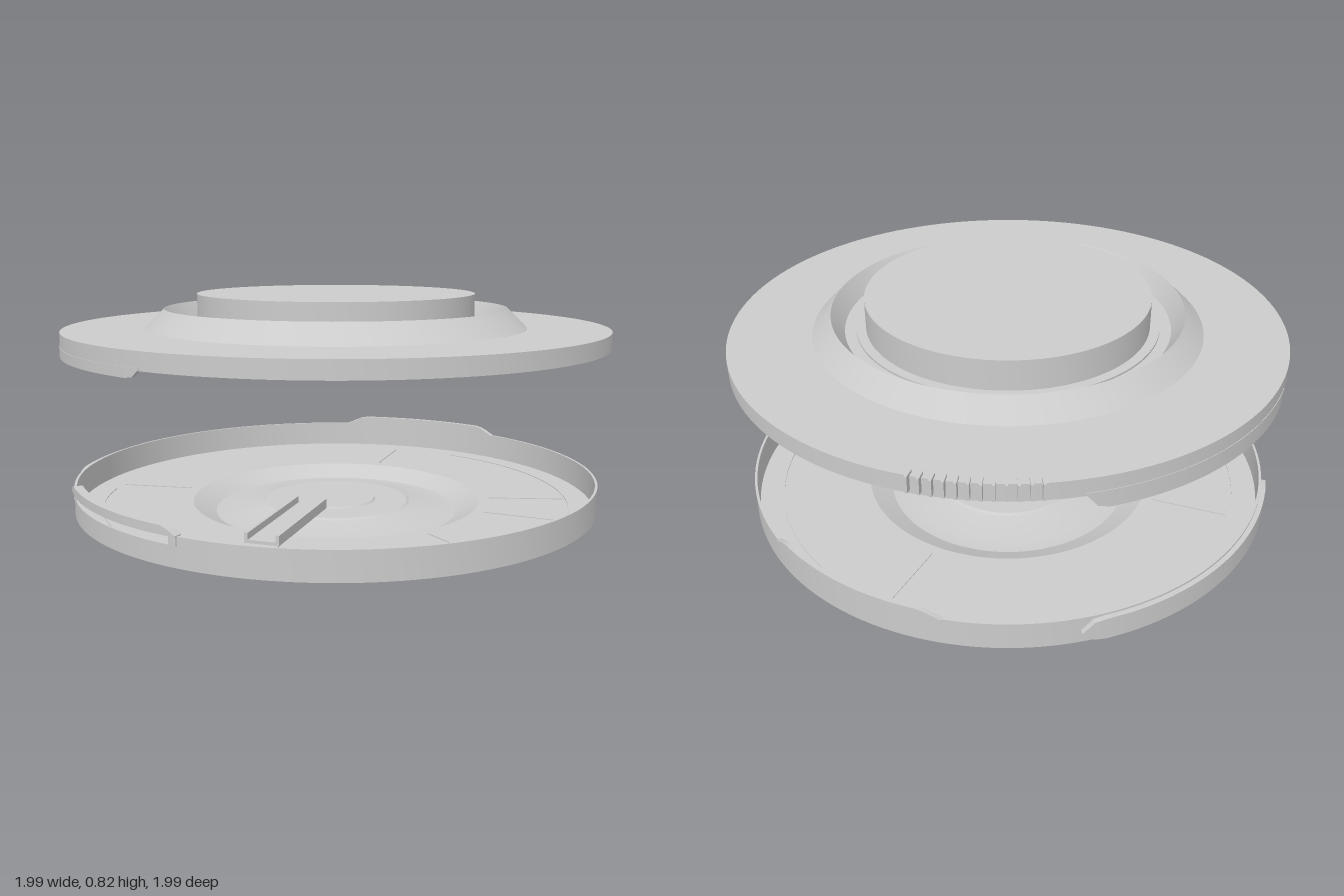
import * as THREE from 'three';
import { toCreasedNormals } from 'three/addons/utils/BufferGeometryUtils.js';

const material = new THREE.MeshStandardMaterial({ color: 0xcccccc, side: THREE.DoubleSide });

function add(parent, name, geometry) {
  const mesh = new THREE.Mesh(geometry, material);
  mesh.name = name;
  parent.add(mesh);
  return mesh;
}

// Revolved sheet from [radius, y] points
function revolve(points) {
  const profile = points.map(([r, y]) => new THREE.Vector2(r, y));
  return toCreasedNormals(new THREE.LatheGeometry(profile, 128), 0.3);
}

// Curved block between two radii and two angles (0 = +z, PI/2 = +x).
// low and high are heights, or functions of t running 0..1 along the arc.
function arcBlock(r0, r1, a0, a1, low, high) {
  const fn = (v) => (typeof v === 'function' ? v : () => v);
  const lo = fn(low), hi = fn(high);
  const n = Math.max(24, Math.ceil(Math.abs(a1 - a0) * 24));
  const pos = [], idx = [];
  for (let i = 0; i <= n; i++) {
    const t = i / n, a = a0 + (a1 - a0) * t, s = Math.sin(a), c = Math.cos(a);
    for (const [r, y] of [[r0, lo(t)], [r1, lo(t)], [r1, hi(t)], [r0, hi(t)]]) pos.push(r * s, y, r * c);
    if (i === n) break;
    for (let k = 0; k < 4; k++) {
      const p = i * 4 + k, q = i * 4 + ((k + 1) % 4);
      idx.push(p, p + 4, q, q, p + 4, q + 4);
    }
  }
  const e = n * 4;
  idx.push(0, 1, 2, 0, 2, 3, e, e + 2, e + 1, e, e + 3, e + 2);
  const g = new THREE.BufferGeometry();
  g.setAttribute('position', new THREE.Float32BufferAttribute(pos, 3));
  g.setIndex(idx);
  return toCreasedNormals(g, 0.3);
}

// Height that ramps from one level to another at both ends of an arc
const ramped = (from, to, run) => (t) => from + (to - from) * Math.min(1, Math.min(t, 1 - t) / run);

function createUpperDisc() {
  const upper = new THREE.Group();
  upper.name = 'upperDisc';

  // Thin shell: rim, flat, ridge, trough and raised cap
  add(upper, 'upperShell', revolve([
    [0.995, 0.64], [0.995, 0.70], [0.70, 0.70], [0.63, 0.77], [0.585, 0.705], [0.545, 0.705],
    [0.545, 0.712], [0.51, 0.712], [0.51, 0.822], [0, 0.822],
  ]));

  // Skirt tabs hanging from the rim
  add(upper, 'backSkirt', arcBlock(0.985, 0.997, 2.606, 3.553, ramped(0.645, 0.59, 0.05), 0.65));
  add(upper, 'sideSkirt', arcBlock(0.985, 0.997, 3.976, 4.752, ramped(0.645, 0.615, 0.05), 0.65));

  // Row of cooling fins on the edge
  for (let i = 0; i < 12; i++) {
    const a = 2.095 + (i / 11) * 0.39;
    const fin = add(upper, 'rimFin', new THREE.BoxGeometry(0.009, 0.056, 0.04));
    fin.position.set(Math.sin(a) * 0.995, 0.681, Math.cos(a) * 0.995);
    fin.rotation.y = a;
  }
  return upper;
}

function createLowerDisc() {
  const lower = new THREE.Group();
  lower.name = 'lowerDisc';

  // Pan floor with sunken ring and central hub
  add(lower, 'panFloor', revolve([
    [0.966, 0.045], [0.54, 0.045], [0.455, 0.003], [0.40, 0.003],
    [0.28, 0.03], [0.27, 0.036], [0.15, 0.036], [0.145, 0.042], [0, 0.042],
  ]));

  // Outer wall, cut down where the slotted bar sits
  const slot0 = 4.115, slot1 = 4.857;
  add(lower, 'outerWall', arcBlock(0.958, 0.967, slot1 - Math.PI * 2, slot0, 0.045, 0.145));
  add(lower, 'slotSill', arcBlock(0.958, 0.967, slot0, slot1, 0.045, 0.115));
  add(lower, 'slotBar', arcBlock(0.945, 0.977, slot0, slot1, 0.145, ramped(0.148, 0.175, 0.06)));
  for (const a of [slot0, slot1 - 0.03]) {
    add(lower, 'slotPost', arcBlock(0.95, 0.972, a, a + 0.03, 0.115, 0.148));
  }

  // Raised tab on the opposite side
  add(lower, 'sideTab', arcBlock(0.955, 0.973, 1.426, 2.168, 0.14, ramped(0.145, 0.175, 0.1)));

  // Arrow-ended cover panel on the back
  add(lower, 'backPanel', arcBlock(0.965, 0.985, 2.622, 3.795,
    ramped(0.095, 0.055, 0.04), ramped(0.095, 0.138, 0.04)));

  // Ramp with side rails bridging the sunken ring
  const ramp = new THREE.Group();
  ramp.name = 'ramp';
  add(ramp, 'rampDeck', new THREE.BoxGeometry(0.48, 0.012, 0.11));
  for (const side of [-1, 1]) {
    add(ramp, 'rampRail', new THREE.BoxGeometry(0.48, 0.035, 0.012)).position.set(0, 0.012, side * 0.055);
  }
  ramp.position.set(-0.40, 0.05, 0.10);
  ramp.rotation.y = Math.atan2(0.166, 0.46);
  lower.add(ramp);

  // Floor seams: a fine ring and short radial strips
  add(lower, 'floorRing', arcBlock(0.868, 0.872, -2.6, 1.6, 0.044, 0.048));
  for (const a of [-1.2, -0.35, 0.25, 0.6, 1.9, 3.6]) {
    add(lower, 'floorSeam', arcBlock(0.58, 0.86, a, a + 0.006, 0.044, 0.048));
  }
  return lower;
}

export function createModel() {
  const model = new THREE.Group();
  model.name = 'splitDisc';
  model.add(createUpperDisc(), createLowerDisc());
  return model;
}
